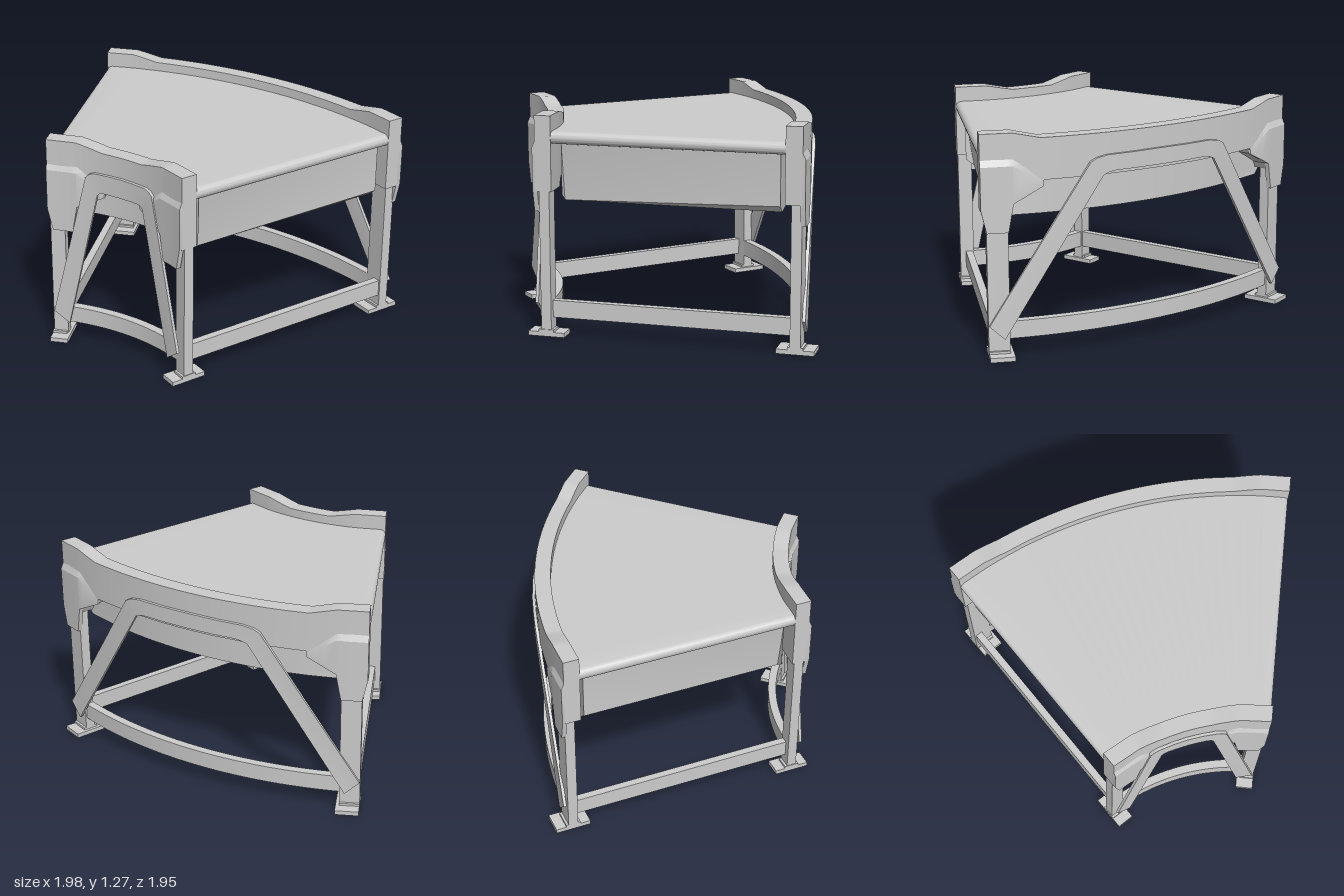
import * as THREE from 'three';
import { toCreasedNormals } from 'three/addons/utils/BufferGeometryUtils.js';

// The table is a 45 degree bend around a vertical axis at (CX, CZ).
const CX = -1.8, CZ = 0.975, BEND = Math.PI / 4;
const OUT = 2.72, INN = 1.2; // outer faces of the two side rails
const deg = THREE.MathUtils.degToRad;
const material = new THREE.MeshStandardMaterial({ color: 0xcccccc });

// Point at radius r, height y, angle a, shifted t along the bend.
const point = (a, r, y, t) => [
  CX + r * Math.cos(a) - t * Math.sin(a), y, CZ - r * Math.sin(a) - t * Math.cos(a)];

// Skin a row of sections; a section is { a, pts: [[r, y, t]...] }, counter-clockwise in r, y.
function loft(name, sections) {
  const pos = [];
  const rings = sections.map(s => s.pts.map(([r, y, t = 0]) => point(s.a, r, y, t)));
  const n = rings[0].length, last = rings.length - 1;
  const tri = (...v) => v.forEach(p => pos.push(...p));
  for (let i = 0; i < last; i++)
    for (let j = 0; j < n; j++) {
      const k = (j + 1) % n, [p, q] = [rings[i], rings[i + 1]];
      tri(p[j], q[j], q[k]);
      tri(p[j], q[k], p[k]);
    }
  for (let j = 1; j < n - 1; j++) {
    tri(rings[0][0], rings[0][j], rings[0][j + 1]);
    tri(rings[last][0], rings[last][j + 1], rings[last][j]);
  }
  const g = new THREE.BufferGeometry();
  g.setAttribute('position', new THREE.Float32BufferAttribute(pos, 3));
  const mesh = new THREE.Mesh(toCreasedNormals(g, deg(25)), material);
  mesh.name = name;
  return mesh;
}

const rect = (r0, r1, y0, y1, t = 0) => [[r0, y0, t], [r1, y0, t], [r1, y1, t], [r0, y1, t]];

// Complete a half row of sections by mirroring it about the middle of the bend.
const mirrored = half => half.concat(half.slice().reverse().map(s => ({
  a: BEND - s.a, pts: s.pts.map(([r, y, t = 0]) => [r, y, -t]) })));

// Constant section swept from angle a0 to the matching angle at the other end.
function arc(a0, pts, steps = 24) {
  return Array.from({ length: steps + 1 }, (_, i) => ({ a: a0 + (BEND - 2 * a0) * i / steps, pts }));
}

// Straight block at either end of the bend, from inset t0 to t1.
function endBlock(name, back, r0, r1, y0, y1, t0, t1) {
  const a = back ? BEND : 0;
  const [u, v] = back ? [-t1, -t0] : [t0, t1];
  return loft(name, [{ a, pts: rect(r0, r1, y0, y1, u) }, { a, pts: rect(r0, r1, y0, y1, v) }]);
}

// Linear lookup in a list of [x, y] points.
function lookup(table, x) {
  for (let i = 1; i < table.length; i++) {
    const [x0, y0] = table[i - 1], [x1, y1] = table[i];
    if (x <= x1) return y0 + (y1 - y0) * Math.max(0, (x - x0) / (x1 - x0));
  }
  return table[table.length - 1][1];
}

export function createModel() {
  const group = new THREE.Group();
  const add = (...meshes) => group.add(...meshes);

  // Belt with rounded ends
  const belt = [];
  for (let i = 0; i <= 8; i++) {
    const q = Math.PI / 2 * i / 8, h = 0.001 + 0.034 * Math.sin(q);
    belt.push({ a: 0, pts: rect(1.29, 2.64, 1.145 - h, 1.145 + h, 0.035 - 0.035 * Math.cos(q)) });
  }
  for (let i = 2; i <= 12; i++) belt.push({ a: BEND / 2 * i / 12, pts: rect(1.29, 2.64, 1.11, 1.18) });
  add(loft('belt', mirrored(belt)));

  // Body under the belt, with its lower end edges cut back
  const tray = (low, high) => [[1.34, 0.78, low], [2.59, 0.78, low], [2.59, 0.82, high],
    [2.59, 1.115, high], [1.34, 1.115, high], [1.34, 0.82, high]];
  const body = [{ a: 0, pts: tray(0.1, 0.05) }];
  for (let i = 4; i <= 12; i++) body.push({ a: BEND / 2 * i / 12, pts: tray(0, 0) });
  add(loft('body', mirrored(body)));

  // Side rails: raised ends, deep at the posts and shallow in between
  const railTop = [[0, 1.27], [0.18, 1.27], [0.34, 1.235]];
  const railBottom = [[0, 0.84], [0.16, 0.84], [0.18, 0.88], [0.34, 0.965], [0.355, 1.0]];
  const coverTop = [[0, 1.12], [0.18, 1.12], [0.35, 1.01]];
  const coverBottom = [[0, 0.85], [0.03, 0.72], [0.15, 0.72], [0.18, 0.88], [0.35, 0.965]];
  for (const [side, R, dir] of [['outer', OUT, -1], ['inner', INN, 1]]) {
    const span = (r0, r1, y0, y1) => rect(Math.min(r0, r1), Math.max(r0, r1), y0, y1);
    const marks = [0, 0.16, 0.18, 0.23, 0.285, 0.34, 0.355];
    for (let i = 1; i <= 9; i++) marks.push(0.355 + (R * BEND / 2 - 0.355) * i / 9);
    add(loft(side + 'Rail', mirrored(marks.map(s => ({
      a: s / R, pts: span(R, R + dir * 0.095, lookup(railBottom, s), lookup(railTop, s)) })))));

    // Post covers standing proud of the rail ends
    const cover = [0, 0.03, 0.09, 0.15, 0.18, 0.24, 0.3, 0.35].map(s => {
      const out = R - dir * lookup([[0, 0.016], [0.18, 0.016], [0.35, 0.002]], s);
      const back = R + dir * 0.012, y0 = lookup(coverBottom, s), y1 = lookup(coverTop, s);
      const pts = dir < 0
        ? [[back, y0], [out, y0], [out, y1 - 0.03], [back, y1 + 0.03]]
        : [[out, y0], [back, y0], [back, y1 + 0.03], [out, y1 - 0.03]];
      return { a: s / R, pts };
    });
    const far = cover.slice().reverse().map(s => ({ a: BEND - s.a, pts: s.pts }));
    add(loft(side + 'PostCoverFront', cover), loft(side + 'PostCoverBack', far));
  }

  // Arched braces: straight legs joined by a curved top; rows are outer angle, y, inner angle, y
  const braces = {
    outerBrace: [2.722, 2.74, [[0.7, 0.19, 2.5, 0.11], [13, 1.08, 14.6, 1.0], [13.8, 1.1, 15.4, 1.015],
      [15.2, 1.112, 16.3, 1.02], [18.5, 1.113, 19, 1.02], [22.5, 1.115, 22.5, 1.02]]],
    innerBrace: [1.18, 1.198, [[1, 0.19, 5.5, 0.12], [11.5, 1.08, 15, 0.98], [12.5, 1.1, 15.8, 0.995],
      [14, 1.112, 17, 1.0], [18.5, 1.113, 19.2, 1.0], [22.5, 1.115, 22.5, 1.0]]],
  };
  for (const [name, [r0, r1, rows]] of Object.entries(braces)) {
    // Edge points lie at different angles, so offset each from the section's own angle
    const half = rows.map(([ao, yo, ai, yi]) => {
      const a = deg((ao + ai) / 2), d = deg((ai - ao) / 2);
      return { a, pts: [[r0, yi, r0 * d], [r1, yi, r1 * d], [r1, yo, -r1 * d], [r0, yo, -r0 * d]] };
    });
    add(loft(name, mirrored(half.slice(0, -1))
      .toSpliced(rows.length - 1, 0, half[half.length - 1])));
  }

  // Posts, feet and lower cross beams at both ends
  for (const back of [false, true]) {
    const end = back ? 'Back' : 'Front';
    for (const [side, r, t] of [['outer', 2.685, 0.03], ['inner', 1.25, 0]]) {
      const depth = side === 'outer' ? 0.12 : 0.085;
      const t0 = side === 'outer' ? t : t + 0.005;
      add(endBlock(side + 'Post' + end, back, r - 0.03, r + 0.03, 0.02, 0.95, t0, t0 + depth),
        endBlock(side + 'PostBase' + end, back, r - 0.045, r + 0.045, 0.025, 0.04, t, t + depth),
        endBlock(side + 'Foot' + end, back, r - 0.107, r + 0.107, 0, 0.026, t, t + depth + 0.02));
    }
    add(endBlock('crossBeam' + end, back, 1.27, 2.66, 0.105, 0.205, 0.04, 0.085));
  }

  // Curved lower beams between the posts
  add(loft('outerLowerBeam', arc(0.04, rect(2.66, 2.71, 0.105, 0.205))),
    loft('innerLowerBeam', arc(0.05, rect(1.225, 1.275, 0.105, 0.205))));

  return group;
}
